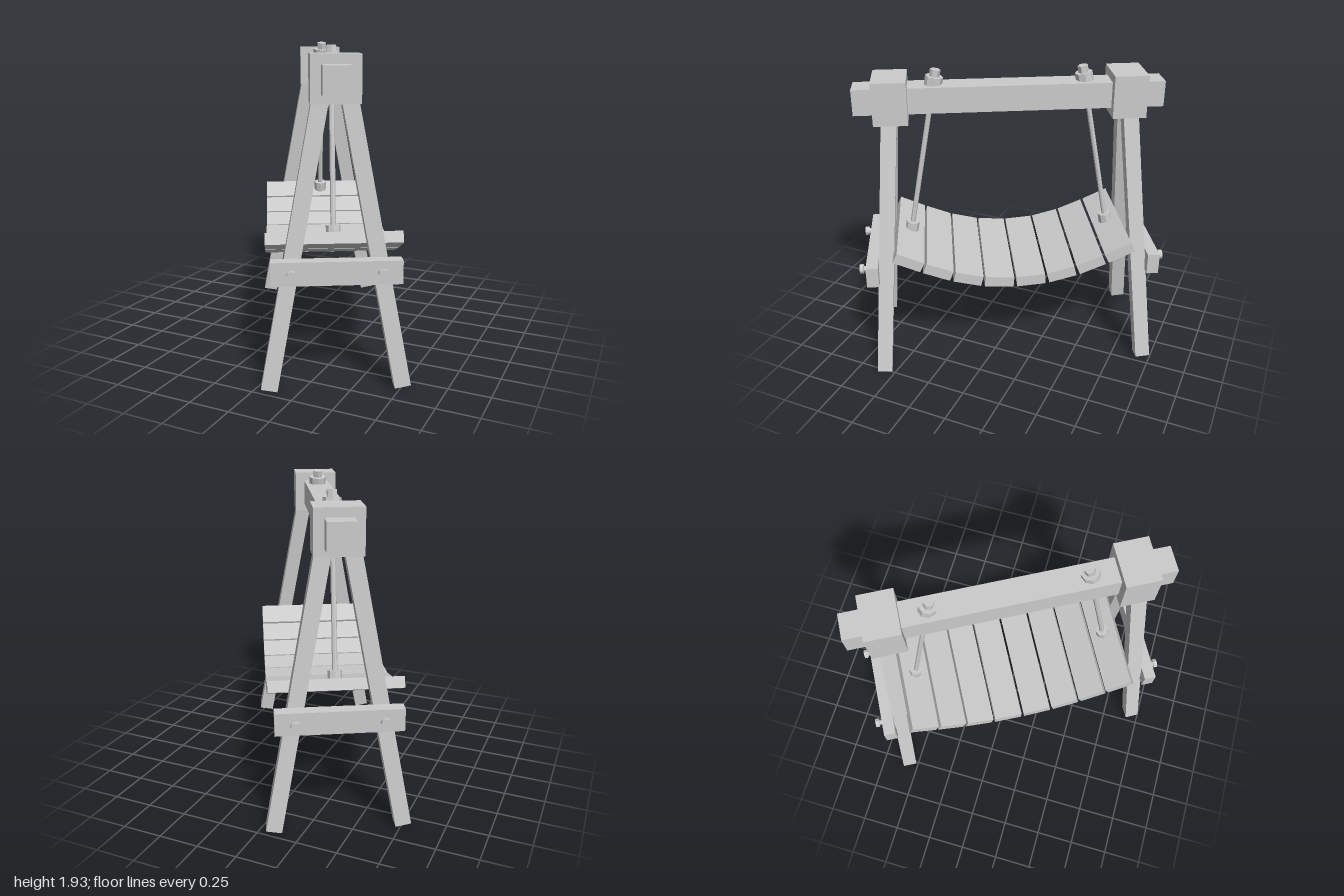
import * as THREE from 'three';

const material = new THREE.MeshStandardMaterial({ color: 0xcccccc, flatShading: true });
const UP = new THREE.Vector3(0, 1, 0);
const v3 = (x, y, z) => new THREE.Vector3(x, y, z);

function add(parent, name, geometry, x = 0, y = 0, z = 0) {
  const mesh = new THREE.Mesh(geometry, material);
  mesh.name = name;
  mesh.position.set(x, y, z);
  parent.add(mesh);
  return mesh;
}

// Faceted cylinder between two points
function rod(parent, name, a, b, radius, sides) {
  const mid = a.clone().add(b).multiplyScalar(0.5);
  const mesh = add(parent, name, new THREE.CylinderGeometry(radius, radius, a.distanceTo(b), sides), mid.x, mid.y, mid.z);
  mesh.quaternion.setFromUnitVectors(UP, b.clone().sub(a).normalize());
  return mesh;
}

// Square timber between two points, its sides kept in line with the frame
function timber(parent, name, a, b, size) {
  const dir = b.clone().sub(a).normalize();
  const side = v3(1, 0, 0).addScaledVector(dir, -dir.x).normalize();
  const mid = a.clone().add(b).multiplyScalar(0.5);
  const mesh = add(parent, name, new THREE.BoxGeometry(size, a.distanceTo(b), size), mid.x, mid.y, mid.z);
  mesh.quaternion.setFromRotationMatrix(new THREE.Matrix4().makeBasis(side, dir, side.clone().cross(dir)));
}

// One end of the swing: block, splayed legs, brace, bolts and hanging rod
function createEnd() {
  const end = new THREE.Group();
  end.name = 'endFrame';
  add(end, 'topBlock', new THREE.BoxGeometry(0.278, 0.265, 0.208), 0, 1.752, 0.722);
  add(end, 'crossBrace', new THREE.BoxGeometry(0.73, 0.135, 0.076), 0, 0.708, 0.89);
  for (const s of [-1, 1]) {
    timber(end, 'leg', v3(s * 0.38, 0.0125, 0.862), v3(s * 0.07, 1.7, 0.729), 0.094);
    rod(end, 'boltNeck', v3(s * 0.25, 0.71, 0.92), v3(s * 0.25, 0.71, 0.952), 0.017, 8);
    rod(end, 'boltHead', v3(s * 0.25, 0.71, 0.95), v3(s * 0.25, 0.71, 0.975), 0.03, 8);
  }
  // Hanging rod with a collar at the seat and a stacked nut above the beam
  const low = v3(0, 0.835, 0.647), high = v3(0, 1.92, 0.444);
  const at = (y) => low.clone().lerp(high, (y - low.y) / (high.y - low.y));
  rod(end, 'hangingRod', low, at(1.9), 0.016, 8);
  rod(end, 'seatCollar', at(0.838), at(0.905), 0.043, 8);
  rod(end, 'beamWasher', at(1.81), at(1.878), 0.055, 8);
  rod(end, 'beamNut', at(1.87), at(1.92), 0.032, 6);
  return end;
}

export function createModel() {
  const model = new THREE.Group();
  model.name = 'swingBench';

  add(model, 'topBeam', new THREE.BoxGeometry(0.16, 0.16, 1.89), 0, 1.75, 0);

  for (const turn of [0, Math.PI]) {
    const end = createEnd();
    end.rotation.y = turn;
    model.add(end);
  }

  // Sagging seat: planks laid along a curve, mirrored about the middle
  const seat = new THREE.Group();
  seat.name = 'seat';
  const curve = [[0, 0.645], [0.2, 0.66], [0.39, 0.708], [0.57, 0.78], [0.75, 0.863]];
  for (const s of [-1, 1]) {
    for (let i = 0; i < curve.length - 1; i++) {
      const [z0, y0] = curve[i], [z1, y1] = curve[i + 1];
      const length = Math.hypot(z1 - z0, y1 - y0) - 0.018;
      const plank = add(seat, 'plank', new THREE.BoxGeometry(0.79, 0.068, length), 0, (y0 + y1) / 2, s * (z0 + z1) / 2);
      plank.rotation.x = -s * Math.atan2(y1 - y0, z1 - z0);
    }
  }
  model.add(seat);

  // The whole swing stands turned about the vertical
  model.rotation.y = THREE.MathUtils.degToRad(28.6);
  const root = new THREE.Group();
  root.add(model);
  return root;
}
